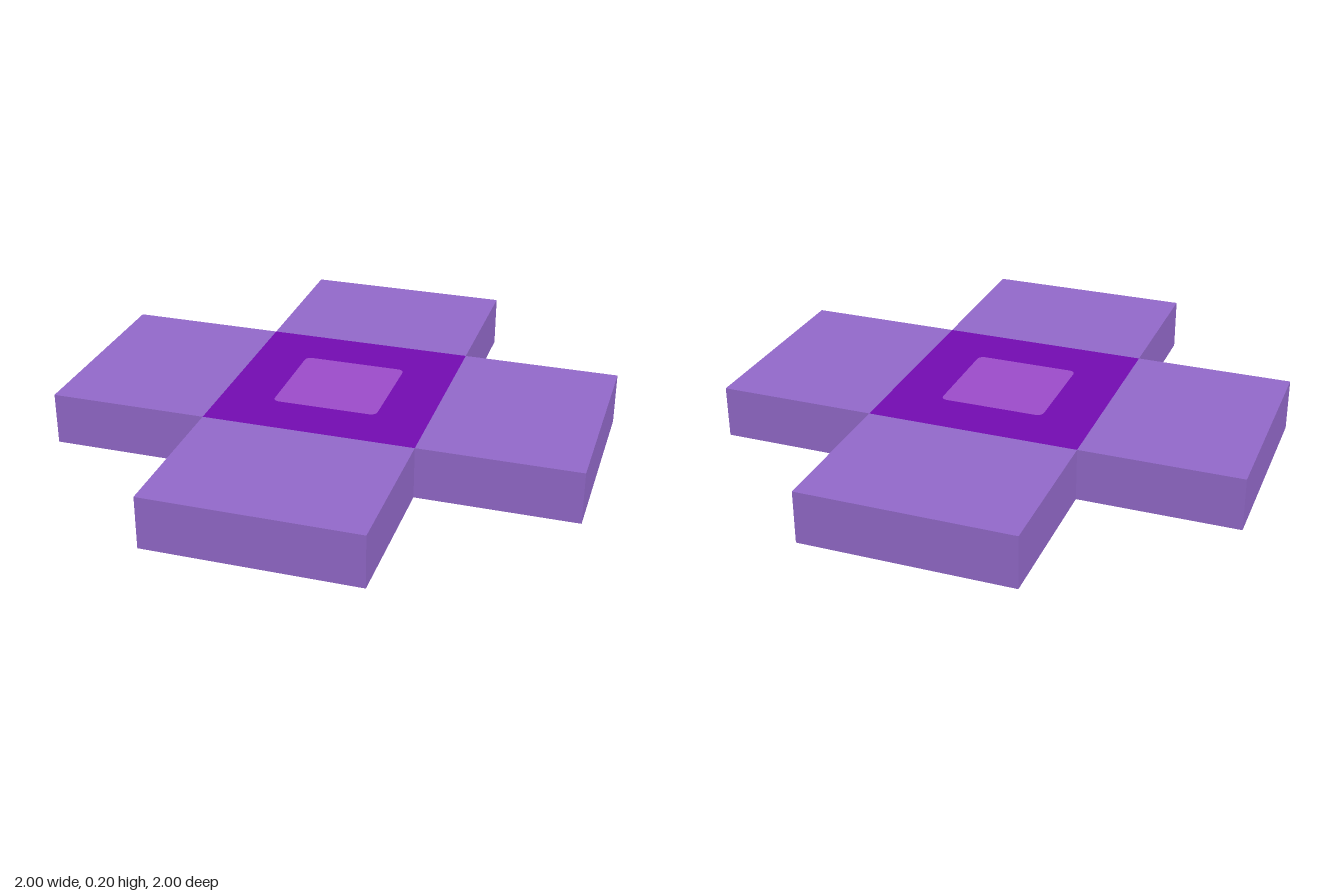
import * as THREE from 'three';

const HEIGHT = 0.2;

// Traces a square with rounded corners, centred on the origin
function roundedSquare(path, half, r) {
  path.moveTo(half, half - r);
  [0, 1, 2, 3].forEach((i) => {
    const start = (i * Math.PI) / 2;
    const cx = (i === 0 || i === 3 ? 1 : -1) * (half - r);
    const cy = (i < 2 ? 1 : -1) * (half - r);
    path.absarc(cx, cy, r, start, start + Math.PI / 2, false);
  });
  path.closePath();
  return path;
}

// Extrudes a flat outline upward from the ground
function slab(shape) {
  const geometry = new THREE.ExtrudeGeometry(shape, { depth: HEIGHT, bevelEnabled: false, curveSegments: 6 });
  return geometry.rotateX(-Math.PI / 2);
}

export function createModel() {
  const model = new THREE.Group();
  model.name = 'crossTile';

  const lavender = new THREE.MeshStandardMaterial({ color: 0x9168c8 });
  lavender.name = 'lavender';
  const violet = new THREE.MeshStandardMaterial({ color: 0x720bb0 });
  violet.name = 'deepViolet';
  const orchid = new THREE.MeshStandardMaterial({ color: 0x9b4bc8 });
  orchid.name = 'orchid';

  const add = (name, geometry, material) => {
    const mesh = new THREE.Mesh(geometry, material);
    mesh.name = name;
    model.add(mesh);
    return mesh;
  };

  // Four arms around the centre
  const armGeometry = new THREE.BoxGeometry(0.8, HEIGHT, 0.6).translate(0, HEIGHT / 2, 0.7);
  ['frontArm', 'leftArm', 'backArm', 'rightArm'].forEach((name, i) => {
    add(name, armGeometry, lavender).rotation.y = (i * Math.PI) / 2;
  });

  // Square hub with a rounded opening
  const hub = new THREE.Shape([
    new THREE.Vector2(-0.4, -0.4),
    new THREE.Vector2(0.4, -0.4),
    new THREE.Vector2(0.4, 0.4),
    new THREE.Vector2(-0.4, 0.4),
  ]);
  hub.holes.push(roundedSquare(new THREE.Path(), 0.2, 0.025));
  add('hub', slab(hub), violet);

  // Flush inlay filling the opening, seen from above and below
  add('centreInlay', slab(roundedSquare(new THREE.Shape(), 0.2, 0.025)), orchid);

  return model;
}
